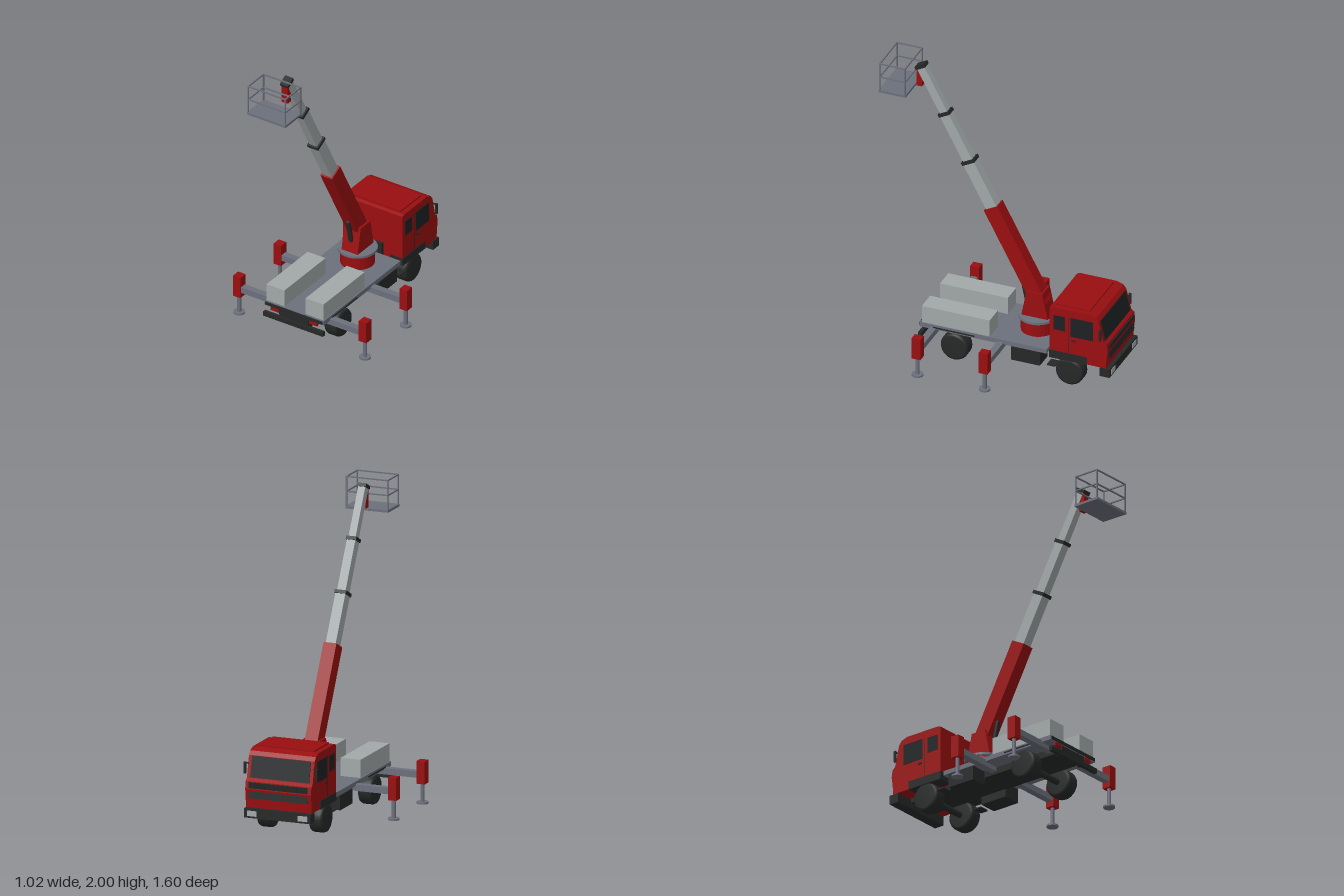
import * as THREE from 'three';

const mat = (name, color) => Object.assign(new THREE.MeshStandardMaterial({ color }), { name });
const red = mat('red paint', 0x990e10);
const light = mat('light grey metal', 0xa2a8a8);
const grey = mat('deck grey', 0x6c707c);
const dark = mat('black plastic', 0x262828);
const glass = mat('dark glass', 0x1d2123);

export function createModel() {
  const root = new THREE.Group();
  root.name = 'aerialPlatformTruck';

  const add = (name, geo, m, x = 0, y = 0, z = 0, parent = root) => {
    const mesh = new THREE.Mesh(geo, m);
    mesh.name = name;
    mesh.position.set(x, y, z);
    parent.add(mesh);
    return mesh;
  };
  // box given by its lower and upper limits
  const box = (name, m, x0, x1, y0, y1, z0, z1, parent = root) =>
    add(name, new THREE.BoxGeometry(x1 - x0, y1 - y0, z1 - z0), m, (x0 + x1) / 2, (y0 + y1) / 2, (z0 + z1) / 2, parent);
  // the same box on both sides
  const pair = (name, m, x0, x1, y0, y1, z0, z1) => {
    box(name + 'Left', m, x0, x1, y0, y1, z0, z1);
    box(name + 'Right', m, -x1, -x0, y0, y1, z0, z1);
  };
  const cyl = (name, m, r, y0, y1, x, z, n = 24) =>
    add(name, new THREE.CylinderGeometry(r, r, y1 - y0, n), m, x, (y0 + y1) / 2, z);
  // side profile of [z, y] points, swept across x
  const profile = (name, m, points, width, parent = root) => {
    const geo = new THREE.ExtrudeGeometry(
      new THREE.Shape(points.map(p => new THREE.Vector2(...p))), { depth: width, bevelEnabled: false });
    geo.translate(0, 0, -width / 2).rotateY(-Math.PI / 2);
    return add(name, geo, m, 0, 0, 0, parent);
  };

  // chassis and deck
  box('chassis', dark, -0.11, 0.11, 0.15, 0.195, -0.72, 0.49);
  box('deck', grey, -0.223, 0.223, 0.195, 0.225, -0.37, 0.49);
  box('rearEdge', dark, -0.215, 0.215, 0.2, 0.22, 0.49, 0.497);
  box('rearBumper', dark, -0.225, 0.225, 0.118, 0.15, 0.48, 0.503);
  pair('bumperHanger', dark, 0.09, 0.11, 0.13, 0.16, 0.45, 0.49);
  pair('tailLight', red, 0.115, 0.175, 0.172, 0.195, 0.478, 0.493);
  pair('sideTank', dark, 0.1, 0.226, 0.098, 0.193, -0.325, -0.13);
  pair('mudguard', dark, 0.12, 0.228, 0.205, 0.213, 0.12, 0.4);
  box('cabRearPanel', dark, -0.08, 0.08, 0.16, 0.3, -0.39, -0.372);
  pair('locker', light, 0.08, 0.215, 0.225, 0.342, 0.02, 0.48);

  // wheels with axles
  for (const z of [-0.52, 0.26]) {
    const axle = add('axle', new THREE.CylinderGeometry(0.02, 0.02, 0.3, 12), dark, 0, 0.094, z);
    axle.rotation.z = Math.PI / 2;
    for (const s of [-1, 1]) {
      const tyre = new THREE.LatheGeometry([[0, -0.047], [0.075, -0.047], [0.088, -0.043], [0.094, -0.03],
        [0.094, 0.03], [0.088, 0.043], [0.075, 0.047], [0, 0.047]].map(p => new THREE.Vector2(...p)), 28);
      add('wheel', tyre, dark, s * 0.177, 0.094, z).rotation.z = Math.PI / 2;
    }
  }

  // cab
  profile('cab', red, [[-0.39, 0.18], [-0.39, 0.538], [-0.41, 0.546], [-0.66, 0.546], [-0.705, 0.53],
    [-0.724, 0.505], [-0.757, 0.365], [-0.777, 0.35], [-0.784, 0.3], [-0.776, 0.24], [-0.772, 0.18]], 0.448);
  box('roofPanel', red, -0.19, 0.19, 0.54, 0.556, -0.65, -0.42);
  pair('wheelArch', dark, 0.13, 0.228, 0.178, 0.232, -0.645, -0.388);
  pair('rearSideWindow', glass, 0.222, 0.227, 0.388, 0.49, -0.495, -0.418);
  pair('doorWindow', glass, 0.222, 0.227, 0.36, 0.495, -0.685, -0.535);
  pair('doorSeam', dark, 0.222, 0.2255, 0.235, 0.5, -0.522, -0.519);
  pair('doorHandle', dark, 0.222, 0.229, 0.325, 0.335, -0.57, -0.54);
  add('windscreen', new THREE.BoxGeometry(0.4, 0.138, 0.008), glass, 0, 0.436, -0.741).rotation.x = 0.232;
  add('upperGrille', new THREE.BoxGeometry(0.4, 0.045, 0.008), dark, 0, 0.322, -0.7815).rotation.x = -0.139;
  add('lowerGrille', new THREE.BoxGeometry(0.4, 0.058, 0.008), dark, 0, 0.27, -0.7805).rotation.x = 0.132;
  box('frontBumper', dark, -0.226, 0.226, 0.118, 0.178, -0.798, -0.73);
  pair('headlight', light, 0.14, 0.205, 0.13, 0.165, -0.801, -0.796);
  pair('mirrorArm', dark, 0.22, 0.245, 0.452, 0.46, -0.744, -0.736);
  pair('mirror', dark, 0.238, 0.251, 0.388, 0.462, -0.748, -0.732);
  pair('cabStep', dark, 0.15, 0.22, 0.11, 0.118, -0.425, -0.37);

  // outriggers
  for (const z of [-0.055, 0.4]) {
    box('outriggerBeam', grey, -0.46, 0.46, 0.166, 0.207, z - 0.022, z + 0.022);
    for (const s of [-1, 1]) {
      const x = s * 0.475;
      box('outriggerLeg', red, x - 0.028, x + 0.028, 0.13, 0.277, z - 0.03, z + 0.03);
      cyl('outriggerRod', grey, 0.013, 0.01, 0.13, x, z, 16);
      cyl('outriggerPad', grey, 0.037, 0, 0.012, x, z);
    }
  }

  // turntable and turret
  cyl('turntableBase', red, 0.11, 0.225, 0.322, 0, -0.22, 36);
  cyl('turntableRing', grey, 0.127, 0.32, 0.336, 0, -0.22, 40);
  profile('turret', red, [[-0.13, 0.335], [-0.165, 0.512], [-0.272, 0.512], [-0.31, 0.335]], 0.122);

  // telescopic boom, built upright and then tilted
  const boom = new THREE.Group();
  boom.name = 'boom';
  boom.position.set(0, 0.42, -0.25);
  boom.rotation.x = 0.49;
  root.add(boom);
  const section = (name, m, w, d, y0, y1) => box(name, m, -w / 2, w / 2, y0, y1, -d / 2, d / 2, boom);
  section('boomOuter', red, 0.088, 0.104, 0, 0.713);
  [[0.068, 0.08, 0.7, 1.057], [0.058, 0.068, 1.05, 1.408], [0.048, 0.056, 1.4, 1.755]].forEach(([w, d, y0, y1], i) => {
    section('boomStage' + (i + 1), light, w, d, y0, y1);
    section('boomCollar' + (i + 1), dark, w + 0.012, d + 0.014, y1 - 0.02, y1 + 0.002);
  });

  // lifting ram
  const a = new THREE.Vector3(0, 0.41, -0.147), b = new THREE.Vector3(0, 0.575, -0.112);
  const ram = add('liftRam', new THREE.CapsuleGeometry(0.016, a.distanceTo(b) - 0.02, 6, 16), dark);
  ram.position.copy(a).lerp(b, 0.5);
  ram.quaternion.setFromUnitVectors(new THREE.Vector3(0, 1, 0), b.clone().sub(a).normalize());

  // basket
  box('basketBracket', red, -0.023, 0.023, 1.82, 1.945, 0.56, 0.597);
  box('basketFloor', grey, -0.145, 0.145, 1.79, 1.806, 0.62, 0.803);
  const t = 0.004, zs = [0.626, 0.797], xs = [-0.14, 0.14];
  for (const x of xs) for (const z of zs) box('basketPost', grey, x - t, x + t, 1.8, 2, z - t, z + t);
  for (const y of [1.9, 1.996]) {
    for (const z of zs) box('basketRail', grey, xs[0], xs[1], y - t, y + t, z - t, z + t);
    for (const x of xs) box('basketSideRail', grey, x - t, x + t, y - t, y + t, zs[0], zs[1]);
  }
  return root;
}
